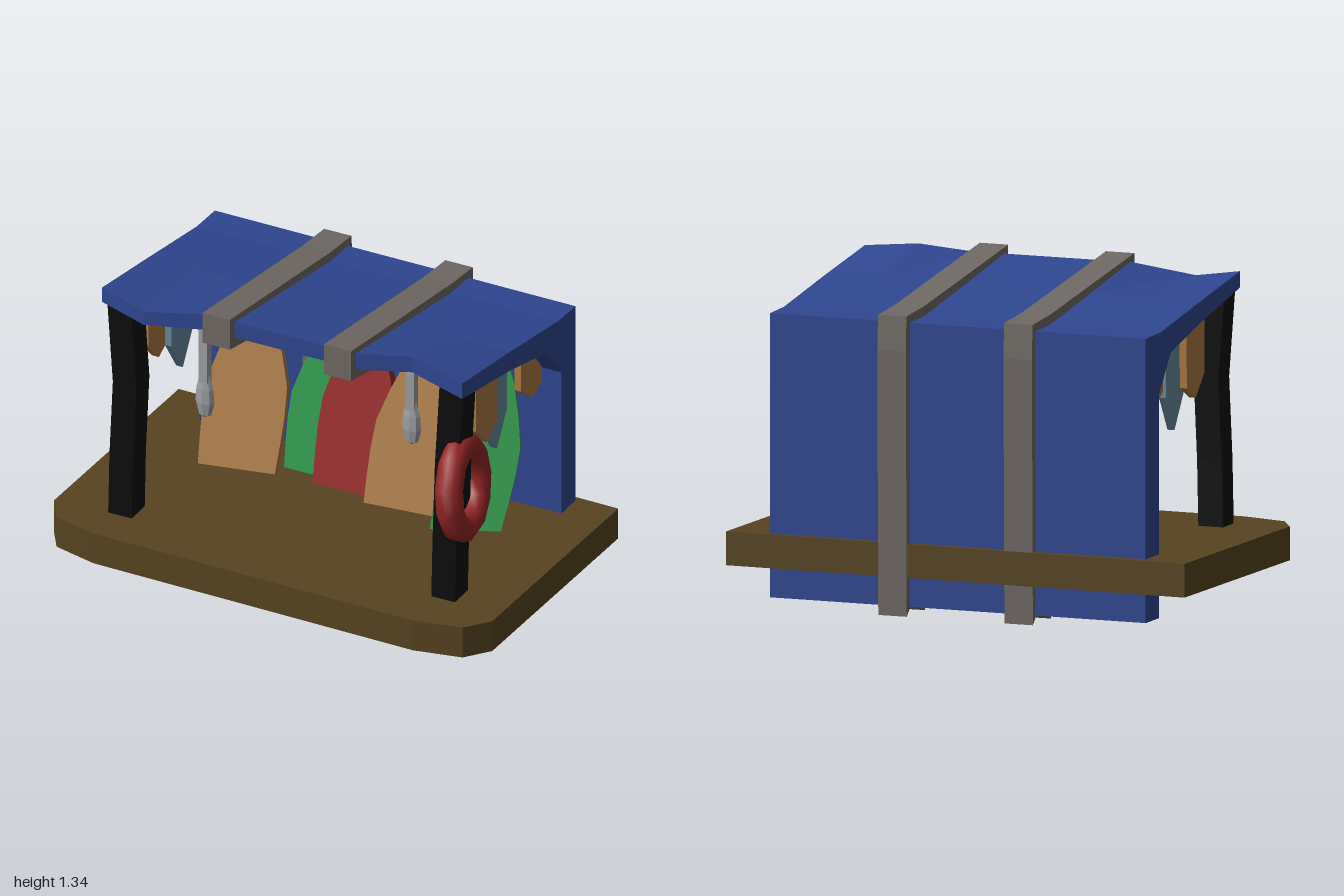
import * as THREE from 'three';

const mat = (name, color, double = false) => {
  const m = new THREE.MeshStandardMaterial({ color, flatShading: true });
  m.name = name;
  if (double) m.side = THREE.DoubleSide;
  return m;
};

export function createModel() {
  const root = new THREE.Group();
  root.name = 'waterSportsStall';
  const M = {
    blue: mat('canopy blue', 0x2f4690, true),
    wood: mat('deck brown', 0x574321, true),
    grey: mat('strap grey', 0x6f6964),
    black: mat('post black', 0x0c0c0c),
    tan: mat('tan', 0xab7a45),
    green: mat('green', 0x2f984c),
    red: mat('red', 0x942526),
    steel: mat('steel blue', 0x66899a),
    light: mat('paddle grey', 0x9c9ea3),
  };
  const ringRed = new THREE.MeshStandardMaterial({ color: 0x942526 });
  ringRed.name = 'ring red';

  const add = (name, geo, material) => {
    const mesh = new THREE.Mesh(geo, material);
    mesh.name = name;
    root.add(mesh);
    return mesh;
  };
  const shapeOf = (pts) => new THREE.Shape(pts.map(([x, y]) => new THREE.Vector2(x, y)));
  const fromTriangles = (pos) => {
    const g = new THREE.BufferGeometry();
    g.setAttribute('position', new THREE.Float32BufferAttribute(pos, 3));
    g.computeVertexNormals();
    return g;
  };
  // extrude a (z, y) side profile along x, centred on x
  const sideExtrude = (pts, x, width) => {
    const g = new THREE.ExtrudeGeometry(shapeOf(pts.map(([z, y]) => [-z, y])), { depth: width, bevelEnabled: false });
    return g.rotateY(Math.PI / 2).translate(x - width / 2, 0, 0);
  };

  // deck: top sheet with a rim, open underneath
  const outline = [[-0.98, -0.61], [-1, 0.41], [-0.93, 0.52], [-0.74, 0.57],
    [0.70, 0.60], [0.90, 0.56], [0.98, 0.46], [1, -0.57]];
  const deckTop = new THREE.ShapeGeometry(shapeOf(outline.map(([x, z]) => [x, -z])));
  add('deckTop', deckTop.rotateX(-Math.PI / 2).translate(0, 0.29, 0), M.wood);
  const rim = [];
  outline.forEach(([x0, z0], i) => {
    const [x1, z1] = outline[(i + 1) % outline.length];
    const a = [x0, 0.155, z0], b = [x1, 0.155, z1], c = [x1, 0.29, z1], d = [x0, 0.29, z0];
    rim.push(...a, ...b, ...c, ...a, ...c, ...d);
  });
  add('deckRim', fromTriangles(rim), M.wood);

  // canopy and back wall: one side profile swept across columns with a wavy front edge
  // column: x, front z, front top y, front bottom y, back z
  const columns = [
    [-0.795, 0.39, 1.30, 1.235, -0.565], [-0.59, 0.43, 1.265, 1.205, -0.563],
    [-0.33, 0.40, 1.305, 1.235, -0.56], [0.35, 0.40, 1.305, 1.235, -0.555],
    [0.57, 0.36, 1.33, 1.26, -0.552], [0.82, 0.41, 1.30, 1.23, -0.55],
  ].map(([x, z, top, bottom, back]) => [
    [z, top], [0, 1.24], [-0.41, 1.175], [back, 1.17], [back, 0.035],
    [-0.43, 0.035], [-0.43, 0.93], [-0.31, 1.08], [0, 1.155], [z, bottom],
  ].map(([pz, py]) => [x, py, pz]));
  const canopy = [];
  for (let i = 0; i < columns.length - 1; i++) {
    columns[i].forEach((a, j) => {
      const k = (j + 1) % columns[i].length;
      const b = columns[i][k], c = columns[i + 1][k], d = columns[i + 1][j];
      canopy.push(...a, ...d, ...c, ...a, ...c, ...b);
    });
  }
  for (const end of [columns[0], columns[columns.length - 1]]) {
    const contour = end.map(([, y, z]) => new THREE.Vector2(z, y));
    for (const tri of THREE.ShapeUtils.triangulateShape(contour, [])) {
      tri.forEach((n) => canopy.push(...end[n]));
    }
  }
  add('canopy', fromTriangles(canopy), M.blue);

  // straps wrapping roof and wall
  const strap = [[0.44, 1.335], [-0.41, 1.215], [-0.59, 1.20], [-0.597, 1.06], [-0.587, 0],
    [-0.55, 0.035], [-0.43, 0.035], [-0.405, 0], [-0.405, 0.90], [-0.26, 1.055], [0.44, 1.2]];
  for (const x of [-0.26, 0.28]) add('strap', sideExtrude(strap, x, 0.122), M.grey);

  // slightly crooked square posts: rows of x, y, z
  const posts = [
    [[-0.715, 0.19, 0.34], [-0.71, 0.55, 0.335], [-0.70, 0.88, 0.325], [-0.73, 1.23, 0.315]],
    [[0.725, 0.19, 0.34], [0.73, 0.55, 0.335], [0.735, 0.88, 0.325], [0.75, 1.23, 0.315]],
  ];
  for (const rows of posts) {
    const g = new THREE.BoxGeometry(0.105, 3, 0.11, 1, 3, 1);
    const p = g.attributes.position;
    for (let i = 0; i < p.count; i++) {
      const [x, y, z] = rows[Math.round(p.getY(i) + 1.5)];
      p.setXYZ(i, p.getX(i) + x, y, p.getZ(i) + z);
    }
    g.computeVertexNormals();
    add('post', g, M.black);
  }

  // life ring hung on a post
  const ring = add('lifeRing', new THREE.TorusGeometry(0.168, 0.056, 10, 11), ringRed);
  ring.position.set(0.79, 0.79, 0.345);
  ring.quaternion.setFromUnitVectors(new THREE.Vector3(0, 0, 1),
    new THREE.Vector3(1, 0.11, -0.16).normalize());

  // leaning surfboards: half width against height, stretched from foot to tip
  const half = [[0.93, -0.05], [0.98, 0.15], [1, 0.3], [0.97, 0.46], [0.75, 0.63], [0.42, 0.83]];
  const boardPts = [...half, [0, 1], ...half.map(([x, y]) => [-x, y]).reverse()];
  const board = (material, foot, tip, w, yaw) => {
    const g = new THREE.ExtrudeGeometry(shapeOf(boardPts.map(([x, y]) => [x * w, y])),
      { depth: 0.04, bevelEnabled: false }).translate(0, 0, -0.02);
    const across = new THREE.Vector3(Math.cos(yaw), 0, -Math.sin(yaw));
    const base = new THREE.Vector3(foot[0], 0.29, foot[1]);
    const up = new THREE.Vector3(...tip).sub(base);
    const normal = across.clone().cross(up).normalize();
    g.applyMatrix4(new THREE.Matrix4().makeBasis(across, up, normal).setPosition(base));
    add('surfboard', g, material);
  };
  board(M.tan, [-0.485, -0.17], [-0.5, 1.02, -0.40], 0.168, 0.2);
  board(M.green, [-0.17, -0.27], [-0.16, 0.965, -0.41], 0.16, 0);
  board(M.red, [-0.01, -0.215], [0, 1.035, -0.405], 0.165, 0);
  board(M.tan, [0.235, -0.18], [0.26, 1.0, -0.385], 0.158, 0.1);
  board(M.green, [0.54, -0.155], [0.58, 0.975, -0.41], 0.15, 0.4);

  // small boards hanging under both ends of the roof
  const hanging = [
    [M.tan, 0.73, [[0.15, 1.19], [0.15, 0.93], [0.06, 0.84], [-0.03, 0.89], [-0.035, 1.15]]],
    [M.steel, 0.70, [[0.01, 1.16], [0.01, 0.87], [-0.085, 0.73], [-0.17, 0.87], [-0.17, 1.12]]],
    [M.tan, 0.72, [[-0.25, 1.11], [-0.25, 0.91], [-0.35, 0.835], [-0.43, 0.87], [-0.43, 0.95], [-0.32, 1.09]]],
  ];
  for (const side of [-1, 1]) {
    for (const [material, x, pts] of hanging) add('hangingBoard', sideExtrude(pts, side * x, 0.03), material);
  }

  // hanging paddles: square shaft and flattened blade
  const blade = [[0, -0.10], [0.028, -0.085], [0.042, -0.03], [0.038, 0.03], [0.019, 0.10]]
    .map(([r, y]) => new THREE.Vector2(r, y));
  for (const [x, top, mid, z] of [[-0.455, 1.13, 0.79, 0.165], [0.503, 1.185, 0.955, 0.235]]) {
    const len = top - mid - 0.06;
    add('paddleShaft', new THREE.BoxGeometry(0.038, len, 0.035).translate(x, top - len / 2, z), M.light);
    add('paddleBlade', new THREE.LatheGeometry(blade, 8).scale(1, 1, 0.6).translate(x, mid, z), M.light);
  }
  return root;
}
